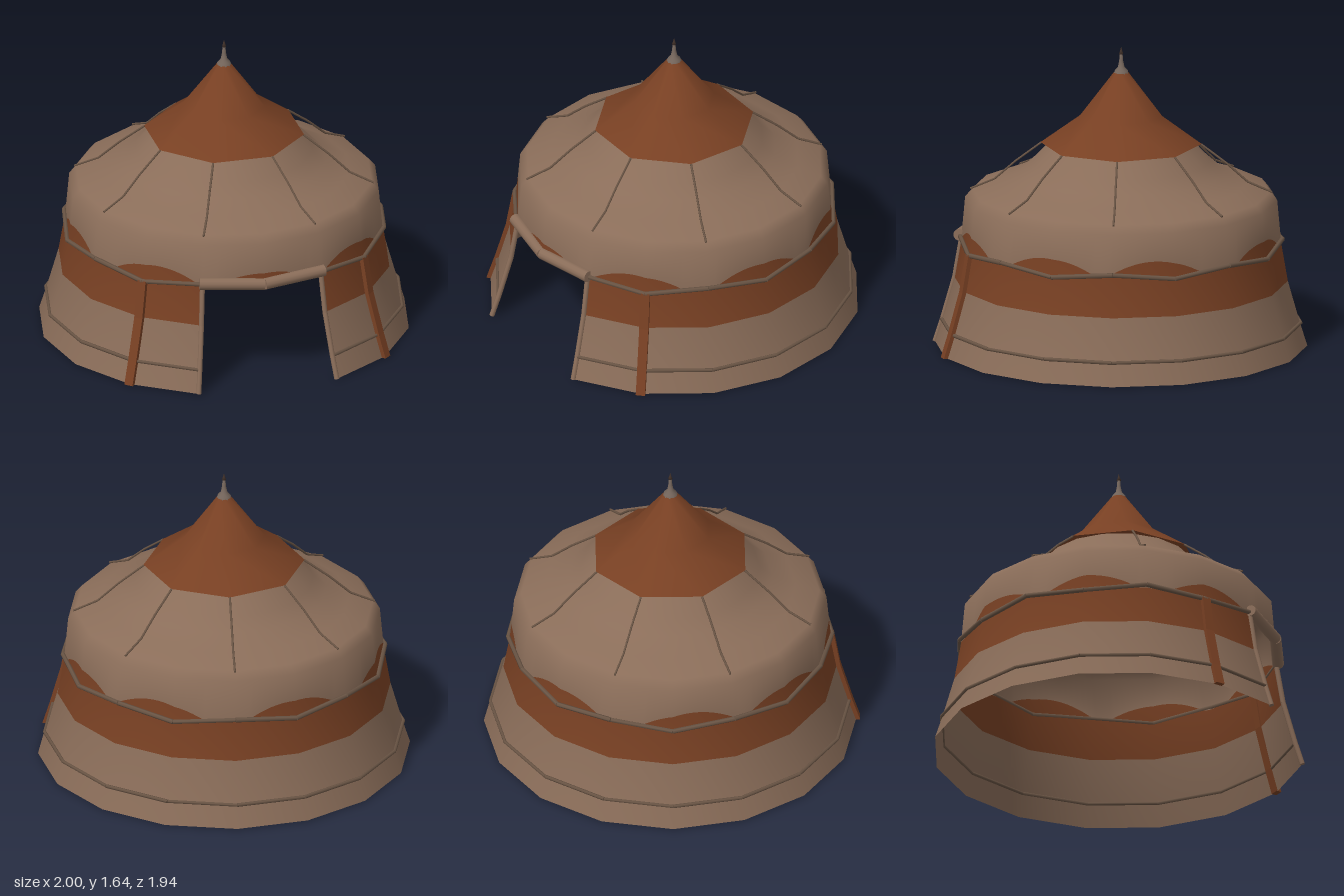
import * as THREE from 'three';
import { mergeGeometries } from 'three/addons/utils/BufferGeometryUtils.js';

const CZ = 0.035;                 // tent axis
const STEP = Math.PI / 8;         // sixteen-sided plan
const DOOR = STEP;                // doorway half angle
const DOOR_TOP = 0.57;
const BAND_LOW = 0.355;
const DEG = Math.PI / 180;

// radius and height, from hem to the underside of the cap
const PROFILE = [
  [1, 0], [0.96, 0.125], [0.895, 0.355], [0.86, 0.56], [0.838, 0.8],
  [0.8, 0.845], [0.674, 0.888], [0.55, 0.947], [0.48, 1.01], [0.39, 1.105],
];

function radiusAt(y) {
  let i = 0;
  while (i < PROFILE.length - 2 && y > PROFILE[i + 1][1]) i++;
  const [r0, y0] = PROFILE[i], [r1, y1] = PROFILE[i + 1];
  return r0 + (r1 - r0) * (y - y0) / (y1 - y0);
}

const polar = (a, r, y) => new THREE.Vector3(Math.sin(a) * r, y, Math.cos(a) * r + CZ);

// shortens the radius between the corners of the plan
function facet(a) {
  const t = a - Math.floor(a / STEP + 1e-6) * STEP;
  return Math.cos(STEP / 2) / Math.cos(t - STEP / 2);
}

// scalloped upper edge of the painted band
const SCALLOPS = [0, 41, 88, 128, 180, 232, 272, 319, 360];
function bandTop(a) {
  let h = 0;
  for (const c of SCALLOPS) {
    const d = Math.abs(a - c * DEG) / (18 * DEG);
    if (d < 1) h = Math.max(h, (c % 360 === 0 ? 0.066 : 0.08) * (1 - d * d));
  }
  return DOOR_TOP + h;
}

// cloth between two heights, each a function of the angle
function cloth(a0, a1, low, high) {
  const pos = [], nor = [], idx = [];
  const cols = Math.round((a1 - a0) / STEP) * 10;
  const rows = PROFILE.length + 2;
  for (let i = 0; i <= cols; i++) {
    const a = a0 + (a1 - a0) * i / cols;
    const lo = low(a), hi = high(a);
    for (const h of [lo, ...PROFILE.map(p => p[1]), hi]) {
      const y = Math.min(hi, Math.max(lo, h));
      pos.push(...polar(a, radiusAt(y) * facet(a), y).toArray());
      const slope = (radiusAt(y + 0.02) - radiusAt(y - 0.02)) / 0.04;
      nor.push(...new THREE.Vector3(Math.sin(a), -slope, Math.cos(a)).normalize().toArray());
    }
  }
  for (let i = 0; i < cols; i++) {
    for (let j = 0; j < rows - 1; j++) {
      const p = i * rows + j, q = p + rows;
      idx.push(p, q, q + 1, p, q + 1, p + 1);
    }
  }
  const g = new THREE.BufferGeometry();
  g.setAttribute('position', new THREE.Float32BufferAttribute(pos, 3));
  g.setAttribute('normal', new THREE.Float32BufferAttribute(nor, 3));
  g.setIndex(idx);
  return g;
}

// chain of round bars through the points
function bars(points, radius, sides = 6) {
  const up = new THREE.Vector3(0, 1, 0);
  return mergeGeometries(points.slice(1).map((b, i) => {
    const a = points[i], d = b.clone().sub(a);
    const g = new THREE.CylinderGeometry(radius, radius, d.length(), sides);
    g.applyQuaternion(new THREE.Quaternion().setFromUnitVectors(up, d.normalize()));
    const m = a.clone().add(b).multiplyScalar(0.5);
    return g.translate(m.x, m.y, m.z);
  }));
}

export function createModel() {
  const material = (name, color, side = THREE.FrontSide) => {
    const m = new THREE.MeshStandardMaterial({ color, side });
    m.name = name;
    return m;
  };
  const canvas = material('tan canvas', 0x8a6d59, THREE.DoubleSide);
  const brown = material('russet cloth', 0x784023, THREE.DoubleSide);
  const rope = material('rope', 0x695444);
  const metal = material('finial grey', 0x75665c);
  const dark = material('dark tip', 0x3f3029);

  const tent = new THREE.Group();
  tent.name = 'tent';
  const add = (name, geometry, mat) => {
    const m = new THREE.Mesh(geometry, mat);
    m.name = name;
    tent.add(m);
    return m;
  };

  // walls, band and roof
  const from = DOOR, to = 2 * Math.PI - DOOR, full = 2 * Math.PI;
  const level = h => () => h;
  add('lowerWall', cloth(from, to, level(0), level(BAND_LOW)), canvas);
  add('paintedBand', cloth(from, to, level(BAND_LOW), bandTop), brown);
  add('doorScallopLeft', cloth(0, from, level(DOOR_TOP), bandTop), brown);
  add('doorScallopRight', cloth(to, full, level(DOOR_TOP), bandTop), brown);
  add('upperWall', cloth(0, full, bandTop, level(0.845)), canvas);
  add('roof', cloth(0, full, level(0.845), level(1.105)), canvas);

  // eight-sided cap
  const cap = [[0.433, 1.105], [0.22, 1.257], [0.04, 1.495], [0, 1.5]];
  add('roofCap', new THREE.LatheGeometry(
    cap.map(p => new THREE.Vector2(...p)), 8, STEP), brown).position.z = CZ;

  // finial
  const finial = [[0.042, 1.485], [0.036, 1.505], [0.018, 1.525], [0.011, 1.56], [0.008, 1.595], [0, 1.6]];
  add('finial', new THREE.LatheGeometry(
    finial.map(p => new THREE.Vector2(...p)), 10), metal).position.z = CZ;
  const tip = [[0, 1.588], [0.012, 1.598], [0.007, 1.612], [0, 1.637]];
  add('finialTip', new THREE.LatheGeometry(
    tip.map(p => new THREE.Vector2(...p)), 8), dark).position.z = CZ;

  // ropes around the walls, stopping at the doorway
  const band = [], hem = [];
  for (let i = 1; i <= 15; i++) {
    const y = i % 2 ? 0.585 : 0.555;
    band.push(polar(i * STEP, radiusAt(y) + 0.008, y));
    hem.push(polar(i * STEP, radiusAt(0.125) + 0.004, 0.125));
  }
  add('bandRope', bars(band, 0.013), rope);
  add('hemRope', bars(hem, 0.01), rope);

  // stay ropes from the cap corners to the eaves
  const stay = [[0.43, 1.103], [0.567, 1], [0.68, 0.9], [0.81, 0.845]];
  for (let i = 0; i < 8; i++) {
    add('stayRope', bars(stay.map(([r, y]) => polar((2 * i + 1) * STEP, r, y)), 0.006), rope);
  }

  // rolled door flap
  const roll = [-1, 0, 1].map(i => polar(i * STEP * 1.04, i ? 0.87 : 0.86, i ? 0.59 : 0.577));
  add('rolledDoor', bars(roll, 0.032, 12), canvas);

  // doorway edges and front straps
  const lower = PROFILE.slice(0, 4);
  for (const s of [-1, 1]) {
    add('doorEdge', bars(lower.map(([r, y]) => polar(s * DOOR, r, y)), 0.014, 8), canvas);
    const outline = [
      ...lower.map(([r, y]) => new THREE.Vector2(r + 0.018, y)),
      ...lower.map(([r, y]) => new THREE.Vector2(r - 0.012, y)).reverse(),
    ];
    const strap = new THREE.ExtrudeGeometry(new THREE.Shape(outline), { depth: 0.05, bevelEnabled: false });
    strap.translate(0, 0, -0.025).rotateY(s * Math.PI / 4 - Math.PI / 2).translate(0, 0, CZ);
    add('frontStrap', strap, brown);
  }
  return tent;
}
